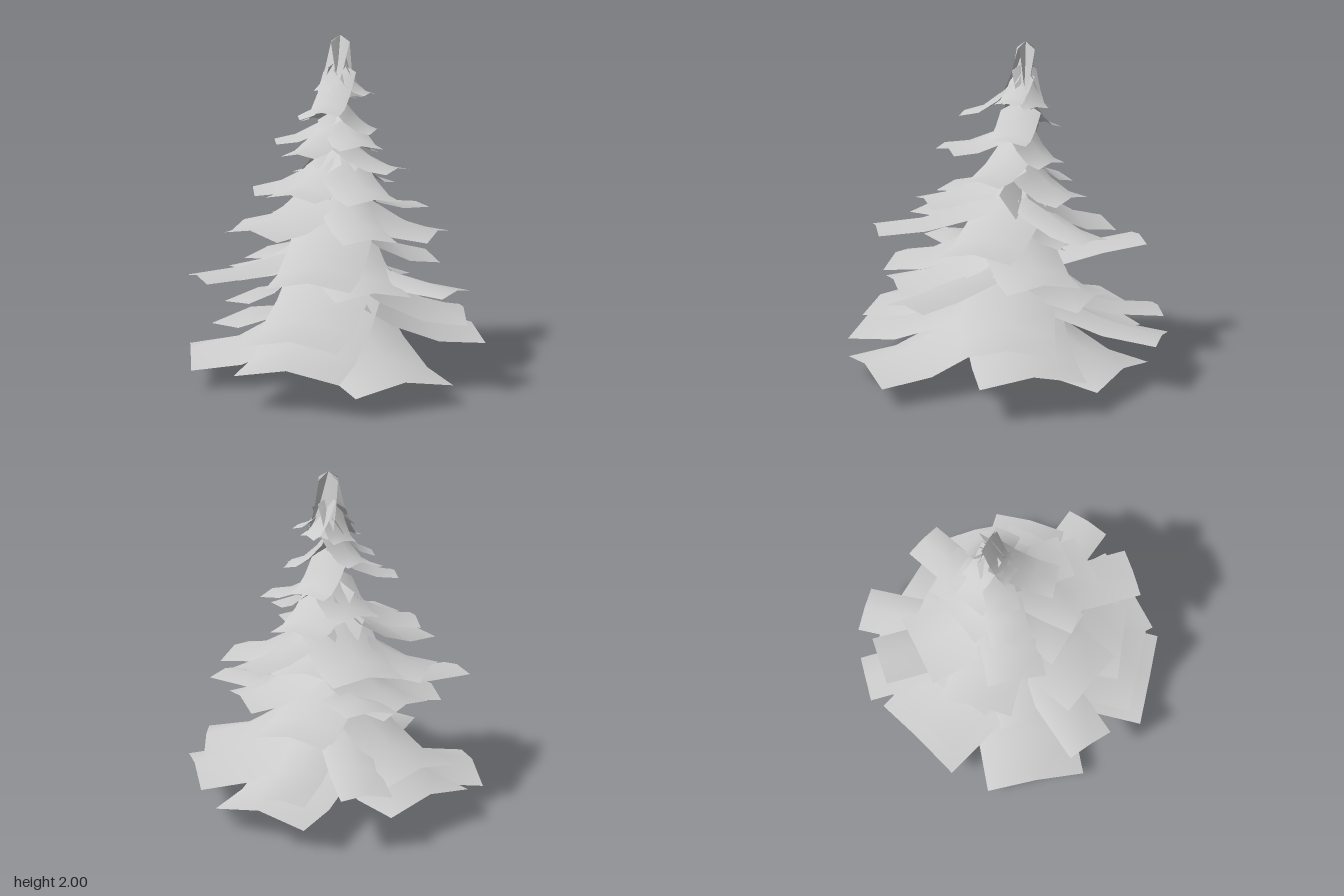
import * as THREE from 'three';

const material = new THREE.MeshStandardMaterial({ color: 0xcccccc, side: THREE.DoubleSide });

// The trunk leans slightly backwards: its axis at height y
const axisX = (y) => 0.01 - 0.005 * y;
const axisZ = (y) => 0.075 - 0.085 * y;

// A bough is a drooping sheet from the trunk to its tip, folded along its middle.
// The fold is steeper at the trunk and nearly flat at the tip.
function bough(name, [tipX, tipZ, tipY, width, drop]) {
  const along = 3, across = 2;
  const rootY = Math.min(tipY + drop, 2);
  const x0 = axisX(rootY), z0 = axisZ(rootY);
  const angle = Math.atan2(tipX - x0, tipZ - z0);
  const length = Math.hypot(tipX - x0, tipZ - z0);
  const g = new THREE.PlaneGeometry(1, 1, across, along);
  const p = g.attributes.position;
  for (let i = 0; i < p.count; i++) {
    const side = p.getX(i) * 2;
    const t = 0.5 - p.getY(i);
    const fold = (0.38 * (1 - t) + 0.18) * (width / 2) * Math.abs(side);
    const y = tipY + (rootY - tipY) * (1 - t) ** 1.75 - fold;
    p.setXYZ(i, side * width / 2, y, t * length);
  }
  g.rotateY(angle);
  g.translate(x0, 0, z0);
  g.computeVertexNormals();
  const mesh = new THREE.Mesh(g, material);
  mesh.name = name;
  return mesh;
}

// Boughs per tier: tip x, tip z, tip height, width, droop
const tiers = {
  lowestBoughs: [
    [0.02, 0.93, 0.25, 0.6, 0.44], [0.62, 0.68, 0.17, 0.6, 0.44],
    [0.745, -0.39, 0.26, 0.6, 0.42], [0.21, -0.76, 0.17, 0.6, 0.44],
    [-0.7, -0.41, 0.24, 0.62, 0.42], [-0.78, 0.375, 0.17, 0.61, 0.44],
  ],
  secondBoughs: [
    [0.01, 0.845, 0.39, 0.54, 0.42], [0.73, -0.23, 0.39, 0.54, 0.42],
    [-0.635, -0.38, 0.38, 0.54, 0.42],
  ],
  longNarrowBoughs: [
    [0.025, -0.94, 0.33, 0.29, 0.32], [-0.435, -0.805, 0.36, 0.29, 0.32],
    [-0.61, 0.66, 0.68, 0.29, 0.16], [0.82, 0.335, 0.62, 0.28, 0.14],
    [-0.43, -0.68, 0.8, 0.3, -0.12],
  ],
  thirdBoughs: [
    [0.41, 0.58, 0.63, 0.44, 0.34], [0.1, -0.55, 0.55, 0.45, 0.36],
    [-0.53, 0.3, 0.66, 0.42, 0.32],
  ],
  middleBoughs: [
    [0.07, 0.71, 0.69, 0.48, 0.36], [0.46, -0.36, 0.7, 0.44, 0.34],
    [-0.5, -0.2, 0.69, 0.45, 0.34],
  ],
  upperMiddleBoughs: [
    [0.625, 0.0, 0.89, 0.43, 0.32], [-0.31, 0.59, 0.94, 0.44, 0.31],
    [-0.595, -0.04, 0.88, 0.42, 0.34], [0.33, -0.6, 0.95, 0.24, 0.22],
    [-0.35, -0.46, 0.92, 0.44, 0.32], [0.05, -0.41, 0.89, 0.42, 0.36],
    [0.42, 0.68, 0.95, 0.3, 0.22],
  ],
  upperBoughs: [
    [0.365, 0.4, 1.12, 0.33, 0.24], [-0.455, 0.17, 1.12, 0.34, 0.24],
    [-0.14, 0.4, 1.12, 0.36, 0.26], [0.11, -0.41, 1.13, 0.33, 0.26],
    [-0.22, -0.23, 1.2, 0.3, 0.24], [0.395, 0.05, 1.25, 0.27, 0.2],
  ],
  highBoughs: [
    [-0.34, 0.11, 1.4, 0.23, 0.18], [0.25, 0.29, 1.4, 0.26, 0.18],
    [-0.08, 0.44, 1.36, 0.22, 0.2], [0.08, -0.28, 1.32, 0.25, 0.24],
    [0.24, -0.05, 1.46, 0.25, 0.2], [-0.21, -0.17, 1.5, 0.2, 0.22],
  ],
  crownBoughs: [
    [0.01, 0.28, 1.58, 0.2, 0.26], [0.2, -0.04, 1.67, 0.15, 0.17],
    [-0.22, 0.04, 1.53, 0.18, 0.26], [0.1, -0.19, 1.64, 0.16, 0.24],
    [-0.12, -0.17, 1.62, 0.16, 0.24],
  ],
  tipBoughs: [
    [-0.06, 0.05, 1.69, 0.14, 0.31], [0.1, -0.04, 1.65, 0.15, 0.35],
    [0.02, -0.17, 1.63, 0.13, 0.37],
  ],
};

export function createModel() {
  const model = new THREE.Group();
  model.name = 'firTree';

  // Trunk: open flared base, tapering to the crown, sheared along the lean
  const profile = [[0.14, 0], [0.11, 0.15], [0.08, 0.32], [0.05, 0.7], [0.035, 1.2], [0.005, 1.96]];
  const trunkShape = new THREE.LatheGeometry(profile.map(([r, y]) => new THREE.Vector2(r, y)), 16);
  const p = trunkShape.attributes.position;
  for (let i = 0; i < p.count; i++) {
    const y = p.getY(i);
    p.setX(i, p.getX(i) + axisX(y));
    p.setZ(i, p.getZ(i) + axisZ(y));
  }
  const trunk = new THREE.Mesh(trunkShape, material);
  trunk.name = 'trunk';
  model.add(trunk);

  // Tiers of boughs
  for (const [name, list] of Object.entries(tiers)) {
    const tier = new THREE.Group();
    tier.name = name;
    list.forEach((b) => tier.add(bough('bough', b)));
    model.add(tier);
  }
  return model;
}
